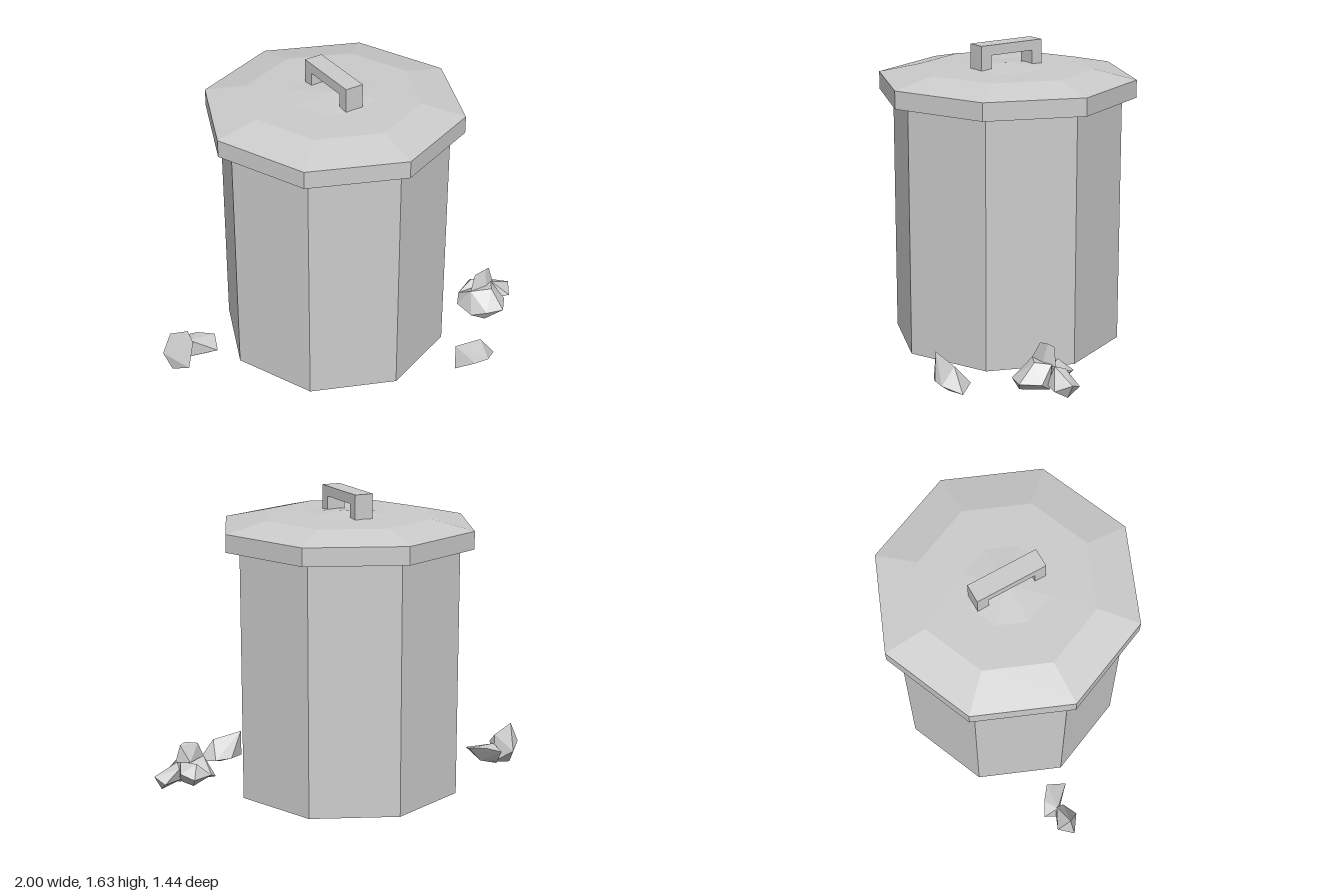
import * as THREE from 'three';
import { ConvexGeometry } from 'three/addons/geometries/ConvexGeometry.js';

const material = new THREE.MeshStandardMaterial({ color: 0xcccccc, flatShading: true, side: THREE.DoubleSide });
const CENTRE_Z = -0.038;

function addMesh(parent, name, geometry) {
  const mesh = new THREE.Mesh(geometry, material);
  mesh.name = name;
  parent.add(mesh);
  return mesh;
}

// Eight-sided turned part with a corner facing the front
function octagonal(profile) {
  return new THREE.LatheGeometry(profile.map(([r, y]) => new THREE.Vector2(r, y)), 8);
}

// Crumpled scrap made of overlapping faceted lobes
function addScrap(parent, name, lobes) {
  const scrap = new THREE.Group();
  scrap.name = name;
  lobes.forEach((points, i) => {
    const corners = points.map((p) => new THREE.Vector3(...p));
    addMesh(scrap, `${name}Lobe${i + 1}`, new ConvexGeometry(corners));
  });
  parent.add(scrap);
}

// Bail handle: an upside-down U extruded across x
function handleGeometry() {
  const shape = new THREE.Shape([
    [-0.192, 1.5], [-0.13, 1.5], [-0.13, 1.578], [0.13, 1.578],
    [0.13, 1.5], [0.192, 1.5], [0.192, 1.632], [-0.192, 1.632],
  ].map(([u, v]) => new THREE.Vector2(u, v)));
  return new THREE.ExtrudeGeometry(shape, { depth: 0.1, bevelEnabled: false })
    .translate(0, 0, -0.05)
    .rotateY(Math.PI / 2);
}

export function createModel() {
  const model = new THREE.Group();
  model.name = 'trashCan';

  // Can: open-bottomed wall, stepped lid and handle
  const can = new THREE.Group();
  can.name = 'can';
  can.position.z = CENTRE_Z;
  model.add(can);
  addMesh(can, 'body', octagonal([[0.61, 0.03], [0.61, 1.356]]));
  addMesh(can, 'lid', octagonal([
    [0.6, 1.356], [0.685, 1.356], [0.685, 1.45], [0.46, 1.5], [0.22, 1.502], [0, 1.521],
  ]));
  addMesh(can, 'handle', handleGeometry());

  // Scrap in front of the can
  addScrap(model, 'frontScrap', [[
    [0.34, 0.165, 0.64], [0.335, 0.02, 0.65], [0.47, 0, 0.65], [0.6, 0.02, 0.65], [0.51, 0.14, 0.64],
    [0.435, 0.04, 0.555], [0.53, 0.04, 0.555], [0.51, 0.05, 0.715], [0.43, 0.05, 0.705],
  ]]);

  // Scrap on the -x side: upright lump with a tail
  addScrap(model, 'rightScrap', [
    [
      [-1, 0.155, -0.18], [-0.95, 0.265, -0.18], [-0.835, 0.22, -0.2], [-0.955, 0.035, -0.17],
      [-0.89, 0.06, -0.1], [-0.83, 0.06, -0.2], [-0.93, 0.12, -0.245], [-0.83, 0.17, -0.155],
    ],
    [
      [-0.835, 0.165, -0.19], [-0.685, 0.155, -0.175], [-0.725, 0.125, -0.075], [-0.77, 0.065, -0.16],
      [-0.85, 0.05, -0.2], [-0.835, 0.14, -0.275], [-0.76, 0.16, -0.235],
    ],
  ]);

  // Scrap on the +x side: three spreading lobes and an upright fin
  addScrap(model, 'leftScrap', [
    [
      [0.66, 0.065, 0.365], [0.655, 0.07, 0.24], [0.73, 0.035, 0.4], [0.715, 0.1, 0.435], [0.81, 0.1, 0.46],
      [0.885, 0.1, 0.375], [0.7, 0.175, 0.3], [0.85, 0.18, 0.29], [0.8, 0.19, 0.36], [0.85, 0.05, 0.3],
      [0.7, 0.1, 0.19],
    ],
    [
      [0.82, 0.105, 0.13], [0.875, 0.13, 0.19], [0.7, 0.1, 0.19], [0.84, 0.17, 0.28], [0.78, 0.17, 0.2],
      [0.8, 0.05, 0.2], [0.85, 0.06, 0.3],
    ],
    [
      [0.86, 0.17, 0.28], [0.995, 0.11, 0.27], [0.96, 0.08, 0.2], [0.945, 0.08, 0.345], [0.955, 0.035, 0.27],
      [0.85, 0.08, 0.25], [0.85, 0.08, 0.32], [0.87, 0.15, 0.22],
    ],
    [
      [0.81, 0.275, 0.285], [0.74, 0.26, 0.28], [0.845, 0.265, 0.27], [0.7, 0.175, 0.3], [0.87, 0.17, 0.28],
      [0.8, 0.17, 0.24], [0.8, 0.18, 0.31],
    ],
  ]);

  return model;
}
